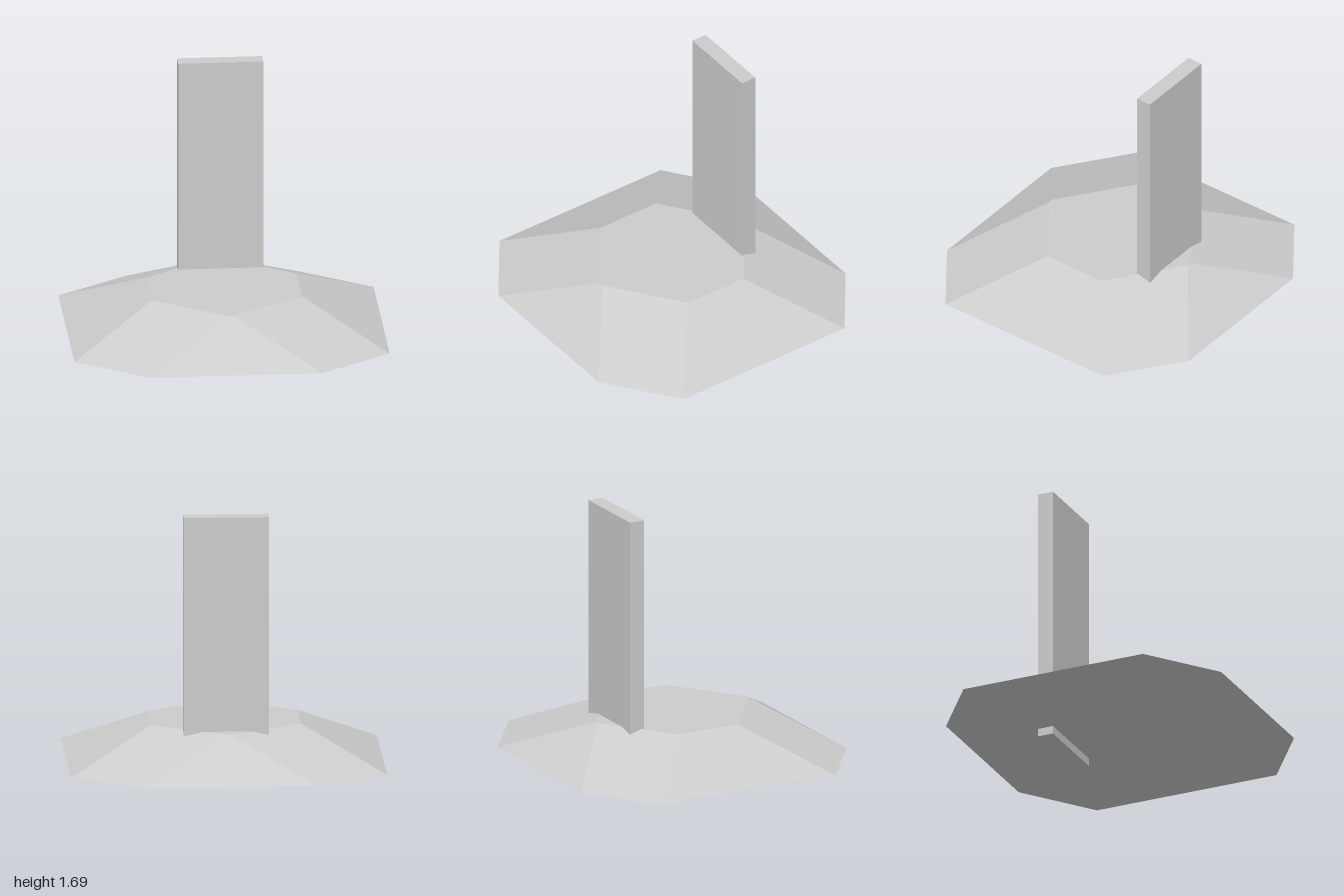
import * as THREE from 'three';

// Eight-sided ring: (sx, cz) is the corner on the side, (cx, sz) the corner on the front
function ring(sx, cz, cx, sz, y) {
  return [
    [sx, y, -cz], [sx, y, cz], [cx, y, sz], [-cx, y, sz],
    [-sx, y, cz], [-sx, y, -cz], [-cx, y, -sz], [cx, y, -sz],
  ];
}

// Solid between two matching rings, with flat caps
function frustum(bottom, top) {
  const n = bottom.length, pos = [];
  const tri = (...corners) => corners.forEach((c) => pos.push(...c));
  for (let i = 0; i < n; i++) {
    const j = (i + 1) % n;
    tri(bottom[i], top[j], bottom[j]);
    tri(bottom[i], top[i], top[j]);
    if (i > 0 && i < n - 1) {
      tri(top[0], top[j], top[i]);
      tri(bottom[0], bottom[i], bottom[j]);
    }
  }
  const geometry = new THREE.BufferGeometry();
  geometry.setAttribute('position', new THREE.Float32BufferAttribute(pos, 3));
  geometry.computeVertexNormals();
  return geometry;
}

export function createModel() {
  const group = new THREE.Group();
  const grey = new THREE.MeshStandardMaterial({ color: 0xcccccc });
  grey.name = 'light grey';

  // Sloped base with a flat, nearly hexagonal top
  const base = new THREE.Mesh(
    frustum(ring(1, 0.626, 0.545, 0.96, 0.052), ring(0.475, 0.215, 0.015, 0.55, 0.305)),
    grey
  );
  base.name = 'base';
  group.add(base);

  // Upright slab passing through the base, slightly below its underside
  const slab = new THREE.Mesh(new THREE.BoxGeometry(0.54, 1.687, 0.103), grey);
  slab.position.set(0.008, 0.8435, -0.397);
  slab.name = 'uprightSlab';
  group.add(slab);

  return group;
}
